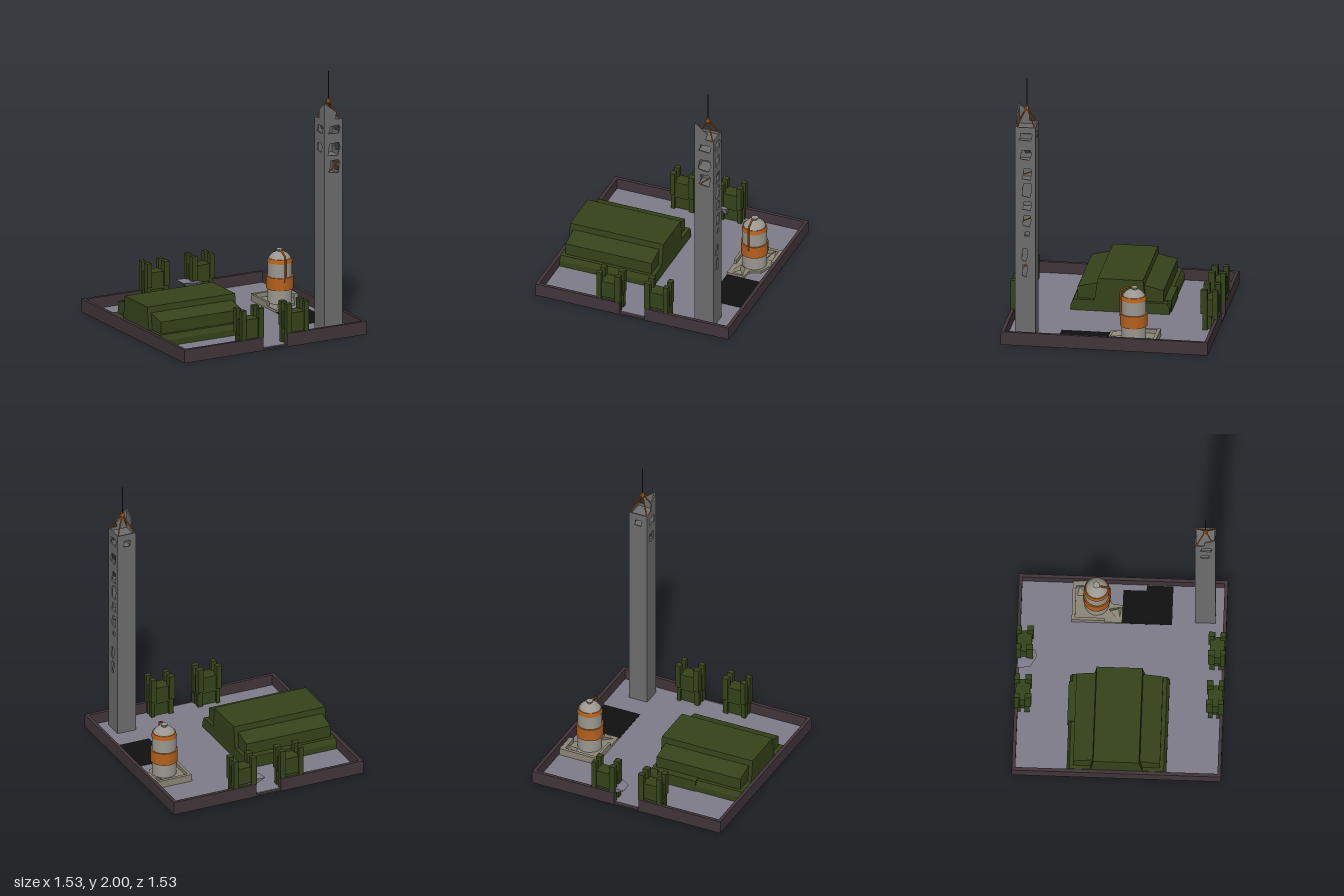
import * as THREE from 'three';
import { ConvexGeometry } from 'three/addons/geometries/ConvexGeometry.js';

const mat = (color) => new THREE.MeshStandardMaterial({ color, side: THREE.DoubleSide, flatShading: true });

export function createModel() {
  const root = new THREE.Group();
  const M = {
    rim: mat(0x41353a), floor: mat(0x7e7b88), green: mat(0x35421a), steel: mat(0x6c6c6c),
    orange: mat(0xb4601c), pit: mat(0x101010), concrete: mat(0x8b8576), shell: mat(0x9b9790), dark: mat(0x242628),
  };
  // Smooth variants for round parts
  M.shellSmooth = M.shell.clone(); M.shellSmooth.flatShading = false;
  M.orangeSmooth = M.orange.clone(); M.orangeSmooth.flatShading = false;

  const group = (name, parent = root) => {
    const g = new THREE.Group();
    g.name = name;
    parent.add(g);
    return g;
  };
  const add = (parent, name, geo, material) => {
    const m = new THREE.Mesh(geo, material);
    m.name = name;
    parent.add(m);
    return m;
  };
  // Box given by its limits on each axis
  const box = (parent, name, material, [x0, x1], [y0, y1], [z0, z1]) => {
    const m = add(parent, name, new THREE.BoxGeometry(x1 - x0, y1 - y0, z1 - z0), material);
    m.position.set((x0 + x1) / 2, (y0 + y1) / 2, (z0 + z1) / 2);
    return m;
  };
  // Thin rod between two points
  const rod = (parent, name, material, a, b, r, sides = 6) => {
    const p = new THREE.Vector3(...a), d = new THREE.Vector3(...b).sub(p);
    const m = add(parent, name, new THREE.CylinderGeometry(r, r, d.length(), sides), material);
    m.position.copy(p).addScaledVector(d, 0.5);
    m.quaternion.setFromUnitVectors(new THREE.Vector3(0, 1, 0), d.normalize());
    return m;
  };
  const polygon = (pts, Type = THREE.Shape) => new Type(pts.map(([x, y]) => new THREE.Vector2(x, y)));
  const extrude = (shape, depth) => new THREE.ExtrudeGeometry(shape, { depth, bevelEnabled: false });
  // Flat slab from an outline in x and z
  const slab = (parent, name, material, pts, y0, y1) => {
    const m = add(parent, name, extrude(polygon(pts.map(([x, z]) => [x, -z])), y1 - y0), material);
    m.rotation.x = -Math.PI / 2;
    m.position.y = y0;
    return m;
  };
  const hull = (parent, name, material, pts) =>
    add(parent, name, new ConvexGeometry(pts.map((p) => new THREE.Vector3(...p))), material);

  // Base, floor and perimeter wall with a gate gap at front and back
  const E = 0.765, T = 0.74;
  const base = group('base');
  box(base, 'baseSlab', M.rim, [-E, E], [0, 0.012], [-E, E]);
  box(base, 'courtyardFloor', M.floor, [-T, T], [0.01, 0.016], [-T, T]);
  for (const s of [-1, 1]) {
    const span = (a, b) => [Math.min(s * a, s * b), Math.max(s * a, s * b)];
    box(base, 'sideWall', M.rim, span(T, E), [0, 0.1], [-E, E]);
    for (const x of [[-T, -0.1], [0.1, T]]) box(base, 'gateWall', M.rim, x, [0, 0.1], span(T, E));
  }

  // Four gate towers with raised corner posts
  for (const sx of [-1, 1]) for (const sz of [-1, 1]) {
    const g = group('gateTower');
    g.position.set(sx * 0.19, 0, sz * 0.7025);
    g.scale.set(sx, 1, sz);
    box(g, 'towerBody', M.green, [-0.082, 0.08], [0.12, 0.25], [-0.052, 0.054]);
    box(g, 'towerFoot', M.green, [-0.06, 0.06], [0.014, 0.13], [-0.03, 0.045]);
    for (const x of [[-0.095, -0.05], [0.055, 0.092]]) {
      box(g, 'innerPost', M.green, x, [0.14, 0.325], [-0.0625, -0.015]);
      box(g, 'outerPost', M.green, x, [0.102, 0.325], [0.025, 0.0635]);
      box(g, 'innerLeg', M.green, [x[0] + 0.004, x[1] - 0.004], [0.014, 0.14], [-0.05, -0.015]);
      box(g, 'outerLeg', M.green, [x[0] + 0.004, x[1] - 0.004], [0.014, 0.11], [0.015, 0.036]);
    }
  }

  // Long hall: low base, sloped annexes, tall middle
  const hall = group('hall');
  const along = (name, pts, x0, x1) => {
    const m = add(hall, name, extrude(polygon(pts.map(([z, y]) => [-z, y])), x1 - x0), M.green);
    m.rotation.y = Math.PI / 2;
    m.position.x = x0;
  };
  along('hallBase', [[0.365, 0.014], [0.365, 0.06], [0.345, 0.1], [-0.345, 0.1], [-0.365, 0.06], [-0.365, 0.014]], -0.738, 0);
  along('hallMiddle', [[0.19, 0.1], [0.165, 0.27], [-0.17, 0.27], [-0.19, 0.1]], -0.738, 0);
  for (const s of [-1, 1])
    along('hallAnnex', [[s * 0.318, 0.09], [s * 0.318, 0.19], [s * 0.17, 0.225], [s * 0.17, 0.09]], -0.71, -0.03);
  box(hall, 'backPorch', M.green, [-0.37, -0.06], [0.014, 0.105], [-0.372, -0.3]);

  // Hollow mast: four wall panels with ragged window holes
  const W = 0.075, mast = group('mast');
  mast.position.set(0.535, 0, 0.607);
  const hole = (u, y, w, h, k) => polygon([
    [u - w, y - h * 0.8], [u + w * (0.5 + 0.3 * k), y - h], [u + w, y + h * 0.7 * k],
    [u + w * 0.8, y + h], [u - w * 0.7, y + h * 0.9], [u - w * (1 - 0.4 * k), y + h * 0.1],
  ], THREE.Path);
  const plain = [[-W, 0.012], [W, 0.012], [W, 1.645], [-W, 1.645]];
  const panels = [
    ['mastFront', 0, [[-W, 0.012], [W, 0.012], [W, 1.645], [0.012, 1.65], [0.028, 1.7], [-W, 1.78]],
      [[0.005, 1.57, 0.05, 0.03], [0.005, 1.42, 0.05, 0.05], [0.005, 1.29, 0.045, 0.05]]],
    ['mastRight', 1, plain, [[0, 1.57, 0.05, 0.03], [0.005, 1.43, 0.04, 0.04], [0.01, 1.28, 0.035, 0.045],
      [0.012, 1.155, 0.035, 0.055], [0.012, 1.035, 0.033, 0.035], [0.012, 0.915, 0.03, 0.045],
      [0.012, 0.815, 0.02, 0.018], [-0.005, 0.65, 0.02, 0.05], [-0.005, 0.53, 0.018, 0.05]]],
    ['mastBack', 2, plain, [[0, 1.57, 0.03, 0.025]]],
    ['mastLeft', 3, [[-W, 0.012], [W, 0.012], [W, 1.78], [-0.005, 1.72], [-0.01, 1.65], [-W, 1.645]],
      [[0.005, 1.57, 0.045, 0.03], [0, 1.43, 0.035, 0.035]]],
  ];
  for (const [name, turn, outline, holes] of panels) {
    const shape = polygon(outline);
    holes.forEach(([u, y, w, h], i) => shape.holes.push(hole(u, y, w, h, i % 2 ? 0.2 : 0.9)));
    const face = group(name, mast);
    face.rotation.y = turn * Math.PI / 2;
    add(face, 'panel', extrude(shape, 0.01), M.steel).position.z = W - 0.01;
  }
  for (const y of [0.4, 0.75, 0.98, 1.21, 1.355, 1.5, 1.62])
    box(mast, 'mastDeck', M.steel, [-0.066, 0.066], [y - 0.005, y + 0.005], [-0.066, 0.066]);
  // Orange braces seen through the windows
  rod(mast, 'frontBrace', M.orange, [-0.03, 1.25, 0.06], [0.06, 1.33, 0.06], 0.005);
  for (const y of [0.55, 0.91, 1.27])
    rod(mast, 'sideBrace', M.orange, [0.06, y, 0.03], [0.06, y + 0.03, -0.05], 0.005);
  // Aerial on four stays
  for (const x of [-1, 1]) for (const z of [-1, 1])
    rod(mast, 'aerialStay', M.orange, [x * 0.07, 1.635, z * 0.07], [0, 1.778, 0], 0.005);
  add(mast, 'aerialHub', new THREE.CylinderGeometry(0.012, 0.02, 0.025, 8), M.orange).position.y = 1.778;
  rod(mast, 'aerial', M.dark, [0, 1.76, 0], [0, 2, 0], 0.004, 8);

  // Dark pit and broken concrete pad
  const pad = group('pad');
  slab(pad, 'pit', M.pit, [[0.435, 0], [0.695, 0], [0.695, 0.17], [0.735, 0.17], [0.735, 0.365], [0.435, 0.365]], 0.012, 0.018);
  slab(pad, 'padSlab', M.concrete, [[0.435, -0.37], [0.735, -0.37], [0.735, -0.2], [0.69, -0.19], [0.66, -0.11],
    [0.58, -0.08], [0.57, 0], [0.435, 0]], 0.012, 0.035);
  box(pad, 'padBackCurb', M.concrete, [0.435, 0.735], [0.012, 0.07], [-0.37, -0.345]);
  box(pad, 'padSideCurb', M.concrete, [0.435, 0.455], [0.012, 0.065], [-0.37, -0.13]);
  box(pad, 'padSideCurb', M.concrete, [0.7, 0.735], [0.012, 0.07], [-0.37, -0.2]);
  hull(pad, 'rubble', M.concrete, [[0.44, 0.02, -0.01], [0.57, 0.02, 0], [0.55, 0.02, -0.1], [0.51, 0.07, -0.09], [0.53, 0.06, -0.03]]);
  hull(pad, 'rubble', M.concrete, [[0.62, 0.02, -0.34], [0.7, 0.02, -0.25], [0.69, 0.09, -0.32], [0.63, 0.03, -0.26]]);

  // Storage tank with bands, cap and pipe
  const tank = group('tank');
  tank.position.set(0.575, 0, -0.19);
  const lathe = (name, pts, m) =>
    add(tank, name, new THREE.LatheGeometry(pts.map(([r, y]) => new THREE.Vector2(r, y)), 32), m);
  const dome = [];
  for (let i = 0; i <= 8; i++) {
    const a = (i / 8) * Math.PI / 2;
    dome.push([0.09 * Math.cos(a), 0.335 + 0.085 * Math.sin(a)]);
  }
  lathe('tankBody', [[0.09, 0.014], [0.09, 0.335]], M.shellSmooth);
  lathe('tankDome', dome, M.shellSmooth);
  const band = (name, r0, r1, y0, y1) => {
    const m = add(tank, name, new THREE.CylinderGeometry(r1, r0, y1 - y0, 32, 1, false), M.orangeSmooth);
    m.position.y = (y0 + y1) / 2;
  };
  band('lowerBand', 0.1, 0.1, 0.14, 0.235);
  band('upperBand', 0.094, 0.086, 0.34, 0.372);
  const cap = add(tank, 'tankCap', new THREE.CylinderGeometry(0.027, 0.017, 0.022, 8), M.shell);
  cap.position.set(0, 0.424, -0.005);
  const pipe = new THREE.CatmullRomCurve3([[0, 0.425, 0], [-0.008, 0.43, 0.035], [-0.008, 0.405, 0.09],
    [-0.008, 0.385, 0.098], [-0.008, 0.2, 0.098]].map((p) => new THREE.Vector3(...p)), false, 'catmullrom', 0.2);
  add(tank, 'tankPipe', new THREE.TubeGeometry(pipe, 24, 0.007, 8), M.orangeSmooth);

  // Torn slab leaning at the back gate
  hull(root, 'brokenGateSlab', M.floor, [[0.022, 0.135, -0.755], [0.03, 0.13, -0.66], [0.115, 0.135, -0.61],
    [0.17, 0.13, -0.63], [0.17, 0.135, -0.75], [0.1, 0.07, -0.7], [0.16, 0.06, -0.66], [0.16, 0.06, -0.74]]);

  return root;
}
